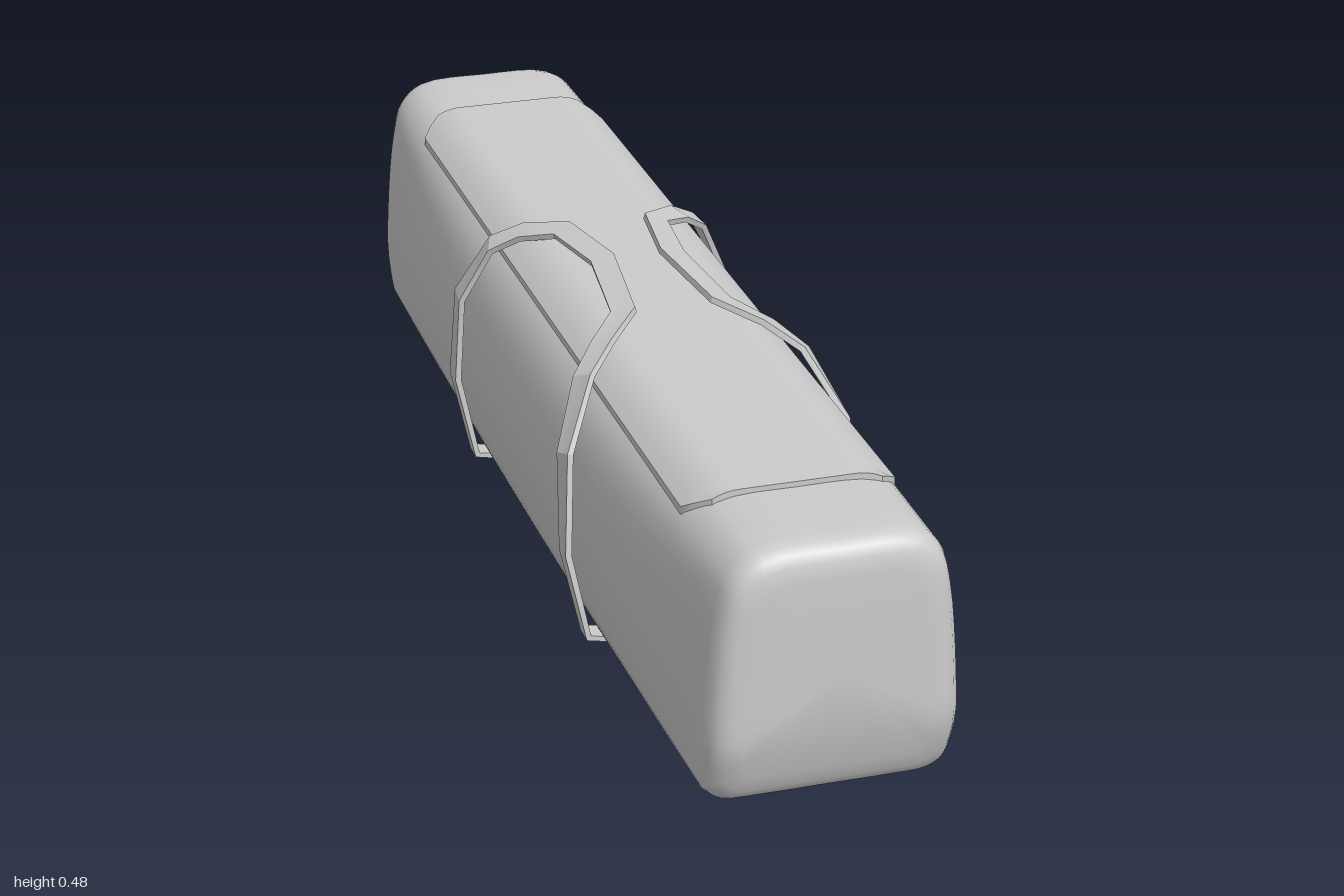
import * as THREE from 'three';
import { toCreasedNormals } from 'three/addons/utils/BufferGeometryUtils.js';

const V = (x, y, z) => new THREE.Vector3(x, y, z);
const material = () => new THREE.MeshStandardMaterial({ color: 0xcccccc });

// Skin a list of equal-length rings; closed joins the last ring to the first.
function loft(rings, closed = false) {
  const n = rings[0].length, m = rings.length, index = [];
  for (let s = 0; s < (closed ? m : m - 1); s++) {
    for (let i = 0; i < n; i++) {
      const j = (i + 1) % n, t = (s + 1) % m;
      const a = s * n + i, b = s * n + j, c = t * n + j, d = t * n + i;
      index.push(a, b, c, a, c, d);
    }
  }
  const geometry = new THREE.BufferGeometry().setFromPoints(rings.flat());
  geometry.setIndex(index);
  geometry.computeVertexNormals();
  return geometry;
}

function named(geometry, name) {
  const mesh = new THREE.Mesh(geometry, material());
  mesh.name = name;
  return mesh;
}

// Half cross-sections (x, y), bottom centre to top centre
const END = [[0, .022], [.1, .022], [.16, .025], [.184, .042], [.19, .08], [.187, .2], [.173, .35], [.158, .405], [.12, .438], [0, .445]];
const MIDDLE = [[0, .018], [.12, .018], [.182, .028], [.2, .06], [.216, .13], [.224, .22], [.206, .33], [.178, .388], [.13, .425], [0, .434]];

// Padded body: bulging in the middle, squared and softly closed at both ends
function bodyGeometry() {
  const stations = [[1, 0], [1, .4], [.999, .75], [.996, .87], [.988, .94], [.975, .98], [.955, 1]];
  for (let z = .9; z > .01; z -= .1) stations.push([z, 1]);
  const all = [
    ...stations.map(([z, k]) => [-z, k]), [0, 1],
    ...stations.slice().reverse()
  ];
  const rings = all.map(([z, k]) => {
    const bulge = 1 - Math.pow(Math.abs(z), 2.5);
    const half = END.map(([x, y], i) => V(
      THREE.MathUtils.lerp(x, MIDDLE[i][0], bulge),
      THREE.MathUtils.lerp(y, MIDDLE[i][1], bulge), 0));
    const mirrored = half.slice(1, -1).reverse().map(p => V(-p.x, p.y, 0));
    const ring = new THREE.CatmullRomCurve3([...half, ...mirrored], true).getPoints(72).slice(0, -1);
    return ring.map(p => {
      const y = .235 + (p.y - .235) * k;
      // the lower edge of each end tucks inwards
      const tuck = .03 * THREE.MathUtils.smoothstep(.15 - y, 0, .12) * THREE.MathUtils.smoothstep(Math.abs(z), .8, .97);
      return V(p.x * k, y, z - Math.sign(z) * tuck);
    });
  });
  return loft(rings);
}

// Lid panel: a thin slab bent over the rounded top, with clipped corners
function lidGeometry() {
  const geometry = new THREE.BoxGeometry(.33, .028, 1.6, 24, 1, 80);
  const p = geometry.attributes.position;
  for (let i = 0; i < p.count; i++) {
    const z = p.getZ(i);
    const clip = Math.max(0, Math.abs(z) - .765);
    const x = p.getX(i) * (1 - clip / .165);
    const drop = Math.pow(Math.max(0, Math.abs(x) - .09) / .075, 2) * .036;
    p.setXYZ(i, x, p.getY(i) + .435 - drop, z);
  }
  geometry.computeVertexNormals();
  return geometry;
}

// Flat strap running as one loop under the body and up into two handles
function strapGeometry() {
  const side = [
    [.09, .007, .41], [.208, .03, .41], [.237, .17, .4], [.228, .325, .37],
    [.18, .422, .31], [.135, .452, .26], [.08, .468, .19], [.058, .476, 0],
    [.08, .466, -.16], [.135, .45, -.21], [.18, .418, -.245], [.228, .32, -.275],
    [.237, .17, -.28], [.208, .03, -.27], [.09, .007, -.27]
  ].map(p => V(...p));
  const path = [...side, ...side.slice().reverse().map(p => V(-p.x, p.y, p.z))];
  const count = path.length;
  const rings = path.map((p, i) => {
    const before = p.clone().sub(path[(i + count - 1) % count]).normalize();
    const after = path[(i + 1) % count].clone().sub(p).normalize();
    const tangent = before.add(after).normalize();
    const out = V(p.x, p.y - .2, 0);
    out.addScaledVector(tangent, -out.dot(tangent)).normalize();
    const across = tangent.clone().cross(out);
    return [[1, 1], [-1, 1], [-1, -1], [1, -1]].map(([a, b]) =>
      p.clone().addScaledVector(out, a * .005).addScaledVector(across, b * .02));
  });
  return toCreasedNormals(loft(rings, true), .3);
}

export function createModel() {
  const group = new THREE.Group();
  group.name = 'longBag';
  group.add(
    named(bodyGeometry(), 'body'),
    named(lidGeometry(), 'lidPanel'),
    named(strapGeometry(), 'carryStrap')
  );
  return group;
}
